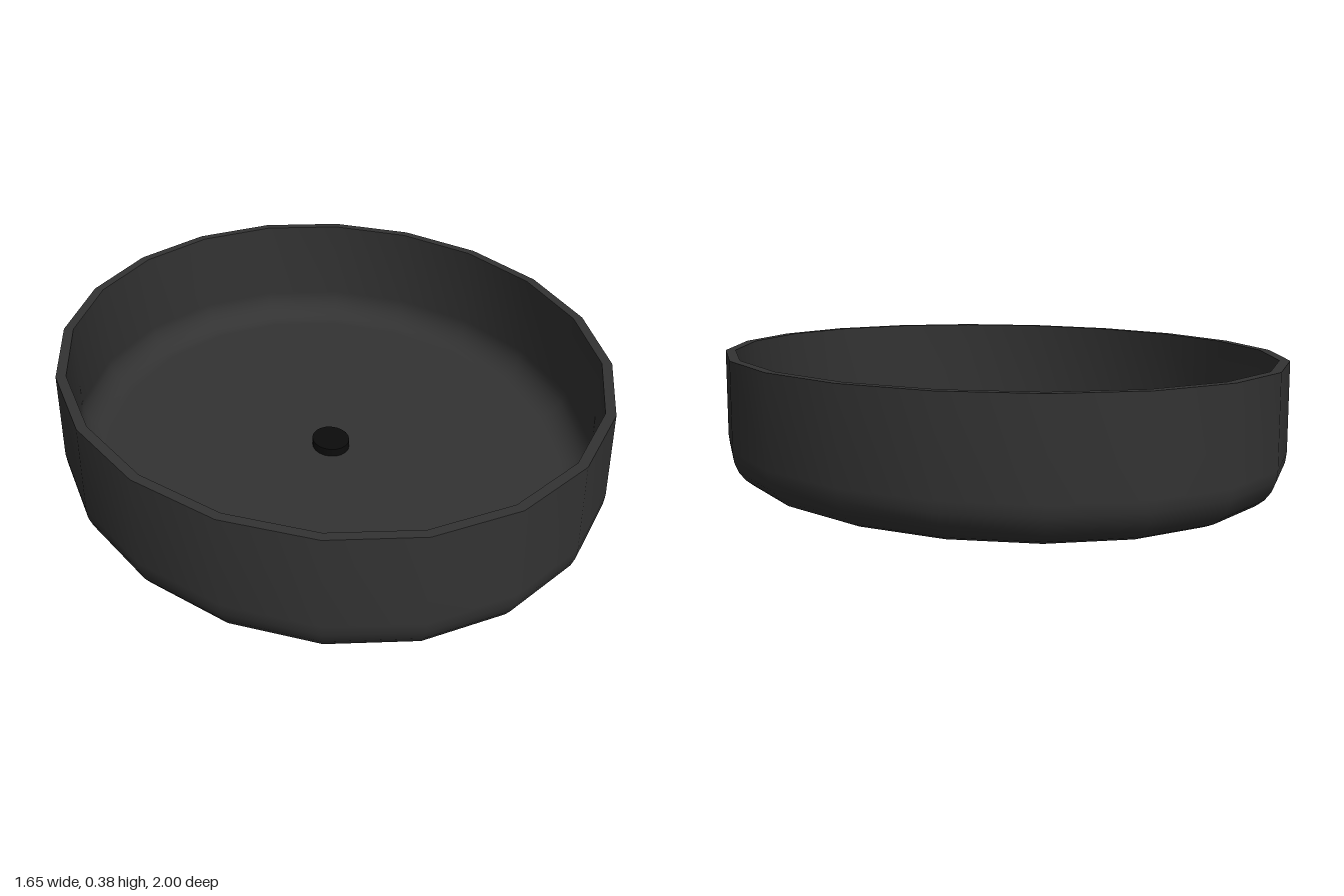
import * as THREE from 'three';
import { mergeVertices } from 'three/addons/utils/BufferGeometryUtils.js';

const RX = 0.824, RZ = 1, HEIGHT = 0.385;
const WALL = 0.03, FILLET = 0.12, SIDES = 20;

// Revolve a profile, then narrow it in x by a constant inset so the wall stays even
function ovalLathe(points) {
  let geo = new THREE.LatheGeometry(points, SIDES);
  const pos = geo.attributes.position;
  for (let i = 0; i < pos.count; i++) {
    const r = Math.hypot(pos.getX(i), pos.getZ(i));
    if (r > 1e-4) pos.setX(i, pos.getX(i) * Math.max(0, r - (RZ - RX)) / r);
  }
  geo.deleteAttribute('uv');
  geo.deleteAttribute('normal');
  geo = mergeVertices(geo);
  geo.computeVertexNormals();
  return geo;
}

// Quarter-round between floor and wall, from the floor up
function filletPoints(radius, steps = 6) {
  const points = [];
  for (let i = 0; i <= steps; i++) {
    const a = (i / steps) * Math.PI / 2;
    points.push(new THREE.Vector2(
      RZ - FILLET + radius * Math.sin(a),
      FILLET - radius * Math.cos(a)
    ));
  }
  return points;
}

export function createModel() {
  const group = new THREE.Group();
  group.name = 'ovalBasin';
  const bodyMaterial = new THREE.MeshStandardMaterial({ color: 0x333333 });
  const drainMaterial = new THREE.MeshStandardMaterial({ color: 0x0c0c0c });

  const add = (name, geometry, material) => {
    const mesh = new THREE.Mesh(geometry, material);
    mesh.name = name;
    group.add(mesh);
    return mesh;
  };
  const v = (x, y) => new THREE.Vector2(x, y);

  // Outer shell: underside, rounded foot and wall
  add('outerShell', ovalLathe([v(0, 0), ...filletPoints(FILLET), v(RZ, HEIGHT)]), bodyMaterial);

  // Flat rim with crisp edges
  add('rim', ovalLathe([v(RZ, HEIGHT), v(RZ - WALL, HEIGHT)]), bodyMaterial);

  // Inner bowl: wall, rounded corner and floor
  add('innerBowl', ovalLathe([
    v(RZ - WALL, HEIGHT),
    ...filletPoints(FILLET - WALL).reverse(),
    v(0, WALL),
  ]), bodyMaterial);

  // Oval drain plug standing slightly above the floor
  const drain = add('drain', new THREE.CylinderGeometry(0.07, 0.07, 0.04, SIDES), drainMaterial);
  drain.scale.x = RX;
  drain.position.y = 0.035;

  return group;
}
